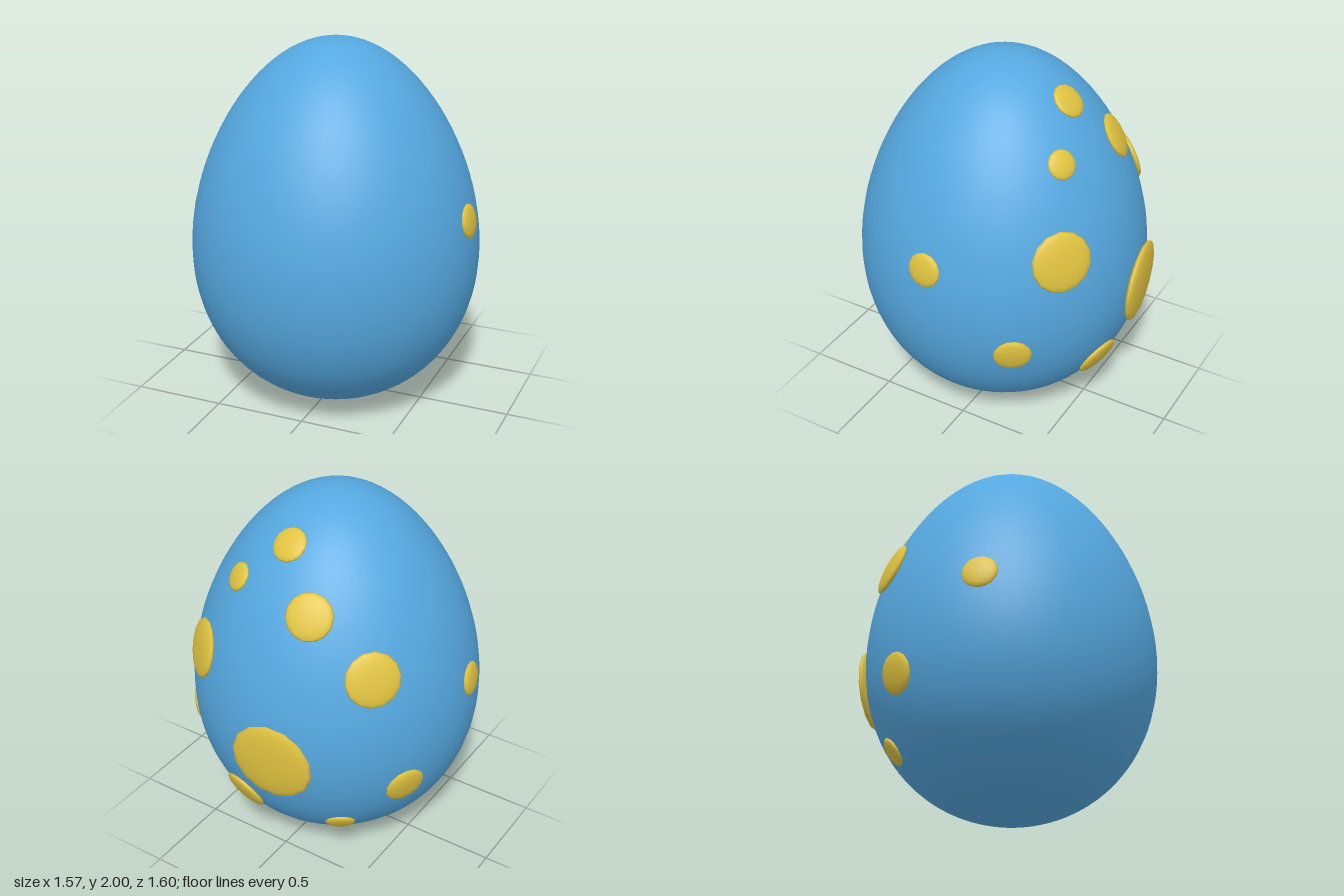
import * as THREE from 'three';

const EGG_Z = 0.02;

// Egg radius at height y: a sphere that narrows toward the top
function eggRadius(y) {
  const c = y - 1;
  return 0.772 * Math.sqrt(Math.max(0, 1 - c * c)) * (1 - 0.15 * c);
}

// Each spot: x and z giving its direction from the axis, height y, radius r
const SPOTS = [
  { x: 0.76, y: 1.105, z: 0.045, r: 0.092 },
  { x: -0.763, y: 1.04, z: 0.14, r: 0.093 },
  { x: 0.45, y: 1.18, z: -0.565, r: 0.16 },
  { x: 0.63, y: 0.66, z: -0.39, r: 0.1 },
  { x: 0.15, y: 0.415, z: -0.635, r: 0.125 },
  { x: -0.11, y: 0.79, z: -0.76, r: 0.225 },
  { x: 0.025, y: 1.825, z: -0.355, r: 0.093 },
  { x: 0.27, y: 1.615, z: -0.455, r: 0.077 },
  { x: -0.2, y: 1.57, z: -0.53, r: 0.122 },
  { x: -0.515, y: 1.285, z: -0.45, r: 0.145 },
  { x: -0.655, y: 0.61, z: -0.34, r: 0.11 },
  { x: -0.364, y: 0.32, z: -0.5, r: 0.08 },
];

export function createModel() {
  const group = new THREE.Group();
  const shellBlue = new THREE.MeshStandardMaterial({ color: 0x55a8e0 });
  shellBlue.name = 'shellBlue';
  const spotYellow = new THREE.MeshStandardMaterial({ color: 0xe0c340 });
  spotYellow.name = 'spotYellow';

  // Smooth egg shell, turned from bottom to top
  const profile = [];
  const steps = 48;
  for (let i = 0; i <= steps; i++) {
    const y = 1 - Math.cos((i / steps) * Math.PI);
    profile.push(new THREE.Vector2(i === 0 || i === steps ? 0 : eggRadius(y), y));
  }
  const shell = new THREE.Mesh(new THREE.LatheGeometry(profile, 64), shellBlue);
  shell.name = 'eggShell';
  shell.position.z = EGG_Z;
  group.add(shell);

  // Flattened round spots set into the shell, facing along its normal
  const spotGeometry = new THREE.SphereGeometry(1, 14, 10);
  const up = new THREE.Vector3(0, 1, 0);
  SPOTS.forEach(({ x, y, z, r }, i) => {
    const angle = Math.atan2(z - EGG_Z, x);
    const radius = eggRadius(y);
    const slope = (eggRadius(y + 0.01) - eggRadius(y - 0.01)) / 0.02;
    const normal = new THREE.Vector3(Math.cos(angle), -slope, Math.sin(angle)).normalize();
    const spot = new THREE.Mesh(spotGeometry, spotYellow);
    spot.name = `spot${i + 1}`;
    spot.position.set(Math.cos(angle) * radius, y, Math.sin(angle) * radius + EGG_Z);
    spot.quaternion.setFromUnitVectors(up, normal);
    spot.scale.set(r, 0.015 + 0.1 * r, r);
    group.add(spot);
  });

  return group;
}
